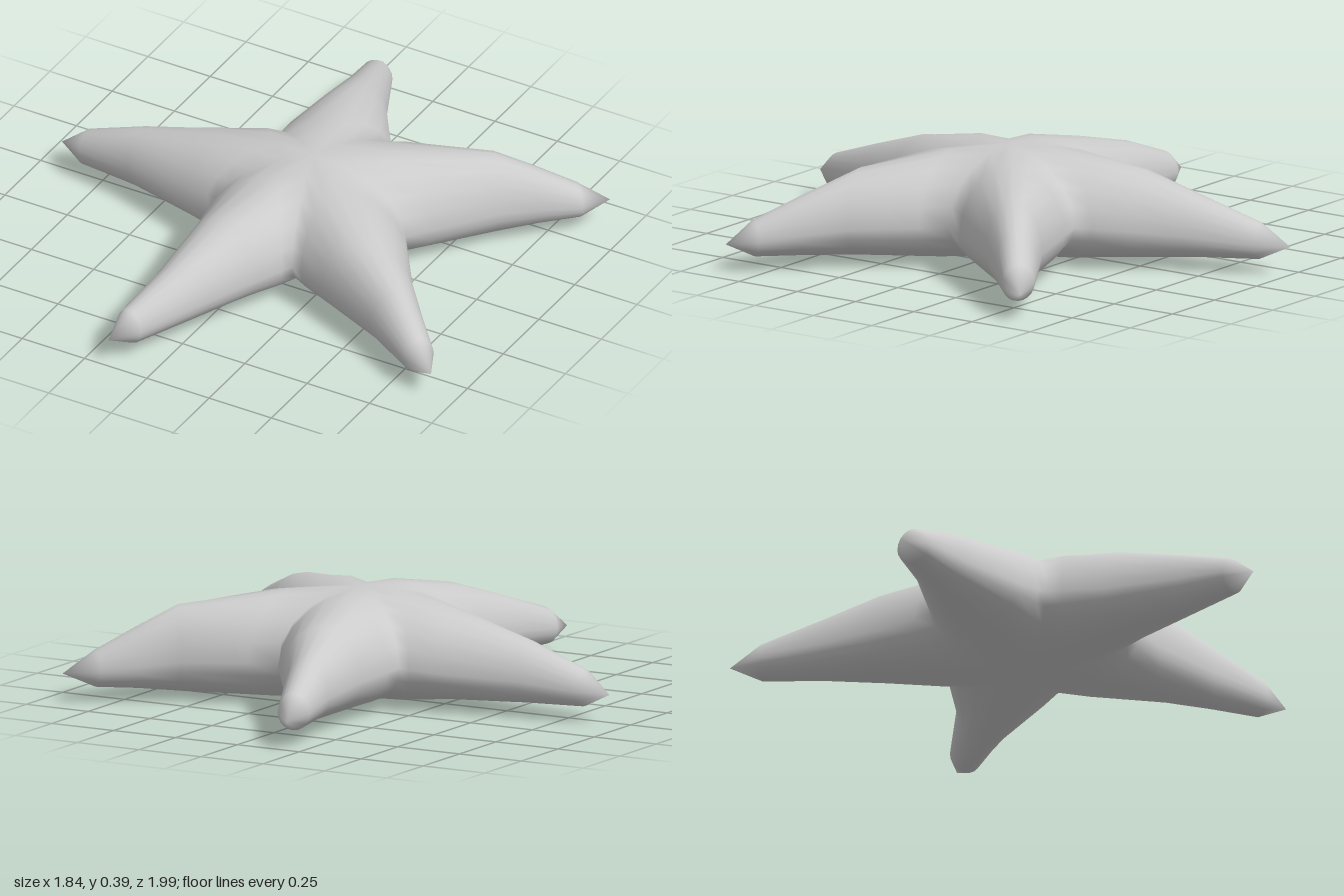
import * as THREE from 'three';
import { mergeVertices } from 'three/addons/utils/BufferGeometryUtils.js';

const CENTRE = [0.09, 0];
const SIDES = 20;

// Each arm as seen from above: left and right edge from the valley to the shoulder, then the tip ([x, z])
const ARMS = [
  { left: [[0.21, -0.37], [0.54, -0.47], [0.66, -0.54], [0.78, -0.61]],
    right: [[0.46, -0.01], [0.66, -0.31], [0.765, -0.425], [0.87, -0.535]], tip: [0.915, -0.645] },
  { left: [[0.46, -0.01], [0.66, 0.28], [0.765, 0.4], [0.87, 0.51]],
    right: [[0.21, 0.35], [0.35, 0.39], [0.6, 0.49], [0.8, 0.6]], tip: [0.92, 0.615] },
  { left: [[0.21, 0.35], [0.14, 0.47], [0.05, 0.64], [-0.075, 0.91]],
    right: [[-0.2, 0.21], [-0.165, 0.41], [-0.16, 0.7], [-0.185, 0.88]], tip: [-0.16, 0.99] },
  { left: [[-0.2, 0.21], [-0.31, 0.17], [-0.6, 0.085], [-0.82, 0.05]],
    right: [[-0.2, -0.23], [-0.31, -0.19], [-0.6, -0.105], [-0.82, -0.07]], tip: [-0.92, -0.01] },
  { left: [[-0.2, -0.23], [-0.18, -0.45], [-0.19, -0.69], [-0.22, -0.88]],
    right: [[0.21, -0.37], [0.1, -0.53], [0, -0.68], [-0.11, -0.91]], tip: [-0.2, -1] },
];

// Heights of the ridge, the side edge and the underside at each station along an arm
const TOP = [0.387, 0.382, 0.335, 0.26, 0.18, 0.1];
const EDGE = [0.16, 0.155, 0.145, 0.13, 0.11, 0.1];
const BOTTOM = [0, 0.005, 0.028, 0.042, 0.05, 0.1];

const mix = (a, b, t) => [a[0] + (b[0] - a[0]) * t, a[1] + (b[1] - a[1]) * t];

// Stations from the body centre to the tip; the root section bends from valley to centre to valley
function armStations({ left, right, tip }) {
  const list = left.map((l, i) => ({
    left: l, right: right[i], spine: i ? mix(l, right[i], 0.5) : CENTRE,
  }));
  const [root, next] = list;
  list.splice(1, 0, {
    left: mix(root.left, next.left, 0.3),
    right: mix(root.right, next.right, 0.3),
    spine: mix(root.spine, next.spine, 0.38),
  });
  list.push({ left: tip, right: tip, spine: tip });
  return list;
}

function starGeometry() {
  const positions = [];
  const indices = [];
  for (const arm of ARMS) {
    const base = positions.length / 3;
    const stations = armStations(arm);
    // Oval cross-sections
    stations.forEach((s, i) => {
      for (let j = 0; j < SIDES; j++) {
        const a = (j / SIDES) * Math.PI * 2;
        const c = Math.cos(a), h = Math.sin(a);
        const [x, z] = mix(s.spine, c > 0 ? s.right : s.left, Math.abs(c));
        const y = EDGE[i] + h * (h > 0 ? TOP[i] - EDGE[i] : EDGE[i] - BOTTOM[i]);
        positions.push(x, y, z);
      }
    });
    // Skin between neighbouring sections
    for (let i = 0; i < stations.length - 1; i++) {
      for (let j = 0; j < SIDES; j++) {
        const k = (j + 1) % SIDES;
        const a = base + i * SIDES + j, b = base + i * SIDES + k;
        const c = a + SIDES, d = b + SIDES;
        indices.push(a, c, b);
        if (i < stations.length - 2) indices.push(b, c, d);
      }
    }
  }
  const geometry = new THREE.BufferGeometry();
  geometry.setAttribute('position', new THREE.Float32BufferAttribute(positions, 3));
  geometry.setIndex(indices);
  // Weld the arms along their shared roots for a continuous smooth skin
  const welded = mergeVertices(geometry, 1e-4);
  welded.computeVertexNormals();
  return welded;
}

export function createModel() {
  const group = new THREE.Group();
  group.name = 'starfish';
  const body = new THREE.Mesh(starGeometry(), new THREE.MeshStandardMaterial({ color: 0xcccccc }));
  body.name = 'starfishBody';
  group.add(body);
  return group;
}
